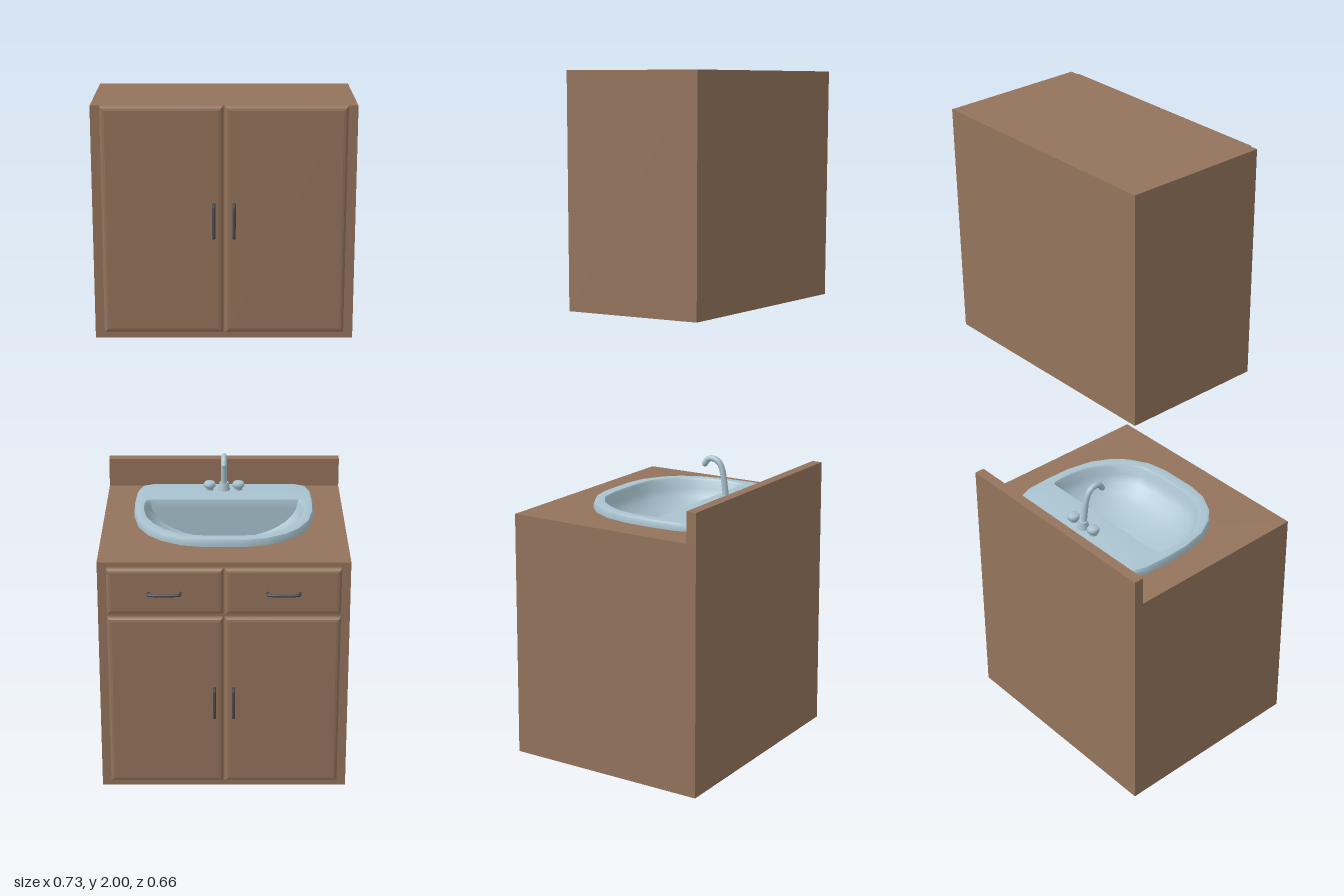
import * as THREE from 'three';
import { toCreasedNormals } from 'three/addons/utils/BufferGeometryUtils.js';

export function createModel() {
  const root = new THREE.Group();
  root.name = 'vanityUnit';
  const wood = new THREE.MeshStandardMaterial({ color: 0x94745c });
  wood.name = 'brown wood';
  const ceramic = new THREE.MeshStandardMaterial({ color: 0xa9c3cf, side: THREE.DoubleSide });
  ceramic.name = 'pale blue ceramic';
  const iron = new THREE.MeshStandardMaterial({ color: 0x4a4a50 });
  iron.name = 'dark iron';

  const add = (name, geometry, material, x = 0, y = 0, z = 0) => {
    const mesh = new THREE.Mesh(geometry, material);
    mesh.name = name;
    mesh.position.set(x, y, z);
    root.add(mesh);
    return mesh;
  };
  const block = (name, w, y0, y1, z0, z1) =>
    add(name, new THREE.BoxGeometry(w, y1 - y0, z1 - z0), wood, 0, (y0 + y1) / 2, (z0 + z1) / 2);

  const W = 0.73, BACK = -0.328, FRONT = 0.293, TOP = 0.735, UPPER_FRONT = 0.088;

  // Half outlines of the basin seen from above, front centre to back: [x, z]
  const outerHalf = [[0.06, 0.185], [0.125, 0.173], [0.185, 0.14], [0.225, 0.1], [0.257, 0.04],
    [0.273, -0.04], [0.275, -0.12], [0.271, -0.2], [0.256, -0.243], [0.225, -0.258]];
  const innerHalf = [[0.055, 0.147], [0.12, 0.138], [0.175, 0.1], [0.205, 0.06], [0.23, 0.01],
    [0.24, -0.05], [0.24, -0.09], [0.237, -0.115], [0.228, -0.125], [0.2, -0.125]];
  const mirror = (half) => [...half, ...half.map(([x, z]) => [-x, z]).reverse()];
  const outer = mirror(outerHalf), inner = mirror(innerHalf);
  const scaled = (ring, s, cz) => ring.map(([x, z]) => [x * s, cz + (z - cz) * s]);

  // Lower cabinet with the basin opening, closed underneath
  const plan = new THREE.Shape();
  plan.moveTo(-W / 2, -FRONT).lineTo(W / 2, -FRONT).lineTo(W / 2, -BACK).lineTo(-W / 2, -BACK).closePath();
  plan.holes.push(new THREE.Path(scaled(outer, 0.96, -0.04).map(([x, z]) => new THREE.Vector2(x, -z))));
  const body = new THREE.ExtrudeGeometry(plan, { depth: TOP - 0.01, bevelEnabled: false });
  body.rotateX(-Math.PI / 2);
  add('lowerCabinet', body, wood, 0, 0.01, 0);
  block('cabinetFloor', W, 0, 0.01, BACK, FRONT);
  block('backsplash', W, TOP, 0.826, BACK, -0.297);
  block('upperCabinet', W, 1.345, 2, BACK, UPPER_FRONT);

  // Door and drawer fronts with rounded edges
  const panel = (name, side, y0, y1, z) => {
    const b = 0.013, w = 0.337, h = y1 - y0;
    const rect = new THREE.Shape();
    rect.moveTo(-w / 2 + b, -h / 2 + b).lineTo(w / 2 - b, -h / 2 + b)
      .lineTo(w / 2 - b, h / 2 - b).lineTo(-w / 2 + b, h / 2 - b).closePath();
    const g = new THREE.ExtrudeGeometry(rect, {
      depth: 0.003, bevelEnabled: true, bevelSize: b, bevelThickness: 0.012, bevelSegments: 3 });
    add(name, g, wood, side * (0.002 + w / 2), (y0 + y1) / 2, z - 0.002);
  };

  // Bent bar pull, vertical by default
  const pullPath = new THREE.CatmullRomCurve3([[-0.046, -0.006], [-0.046, 0.01], [-0.044, 0.016],
    [-0.038, 0.018], [0.038, 0.018], [0.044, 0.016], [0.046, 0.01], [0.046, -0.006]]
    .map(([y, z]) => new THREE.Vector3(0, y, z)));
  const pullShape = new THREE.TubeGeometry(pullPath, 40, 0.0045, 8);
  const pull = (name, x, y, z, flat = false) => {
    const mesh = add(name, pullShape, iron, x, y, z);
    if (flat) mesh.rotation.z = Math.PI / 2;
  };

  for (const side of [-1, 1]) {
    const label = side > 0 ? 'left' : 'right';
    panel(label + 'UpperDoor', side, 1.362, 2, UPPER_FRONT);
    panel(label + 'LowerDoor', side, 0.02, 0.564, FRONT);
    panel(label + 'Drawer', side, 0.574, 0.719, FRONT);
    pull(label + 'UpperDoorPull', side * 0.028, 1.685, UPPER_FRONT + 0.013);
    pull(label + 'LowerDoorPull', side * 0.028, 0.29, FRONT + 0.013);
    pull(label + 'DrawerPull', side * 0.172, 0.645, FRONT + 0.013, true);
  }

  // Basin: rounded rim, flat ledge, then a half bowl with an upright back wall
  const rings = [[outer, TOP], [outer, 0.749], [scaled(outer, 0.985, -0.04), 0.757],
    [scaled(outer, 0.955, -0.04), 0.759], [scaled(inner, 1.02, -0.04), 0.757], [inner, 0.751]];
  const STEPS = 8;
  for (let i = 1; i <= STEPS; i++) {
    const t = (i / STEPS) * Math.PI / 2;
    rings.push([scaled(inner, Math.max(Math.cos(t), 0.001), -0.125), 0.751 - 0.125 * Math.sin(t)]);
  }
  const n = outer.length, pos = [], idx = [];
  rings.forEach(([ring, y]) => ring.forEach(([x, z]) => pos.push(x, y, z)));
  for (let r = 0; r < rings.length - 1; r++) {
    for (let i = 0; i < n; i++) {
      const a = r * n + i, b = r * n + (i + 1) % n;
      idx.push(a, b, a + n, b, b + n, a + n);
    }
  }
  const basin = new THREE.BufferGeometry();
  basin.setAttribute('position', new THREE.Float32BufferAttribute(pos, 3));
  basin.setIndex(idx);
  add('basin', toCreasedNormals(basin, 0.7), ceramic);

  // Tap: curved spout, base and two knobs
  const spoutPath = new THREE.CatmullRomCurve3([[0.755, -0.207], [0.81, -0.2], [0.855, -0.192],
    [0.878, -0.18], [0.887, -0.16], [0.883, -0.143], [0.868, -0.132]]
    .map(([y, z]) => new THREE.Vector3(0, y, z)));
  add('spout', new THREE.TubeGeometry(spoutPath, 32, 0.009, 12), ceramic);
  add('spoutTip', new THREE.SphereGeometry(0.009, 12, 8), ceramic, 0, 0.868, -0.132);
  const knob = new THREE.LatheGeometry([[0.013, 0], [0.011, 0.008], [0.018, 0.012], [0.019, 0.021],
    [0.015, 0.027], [0, 0.028]].map(([r, y]) => new THREE.Vector2(r, y)), 16);
  for (const x of [-0.045, 0.045]) add('tapKnob', knob, ceramic, x, 0.757, -0.207);
  add('spoutBase', new THREE.CylinderGeometry(0.014, 0.019, 0.026, 16), ceramic, 0, 0.77, -0.207);

  return root;
}
